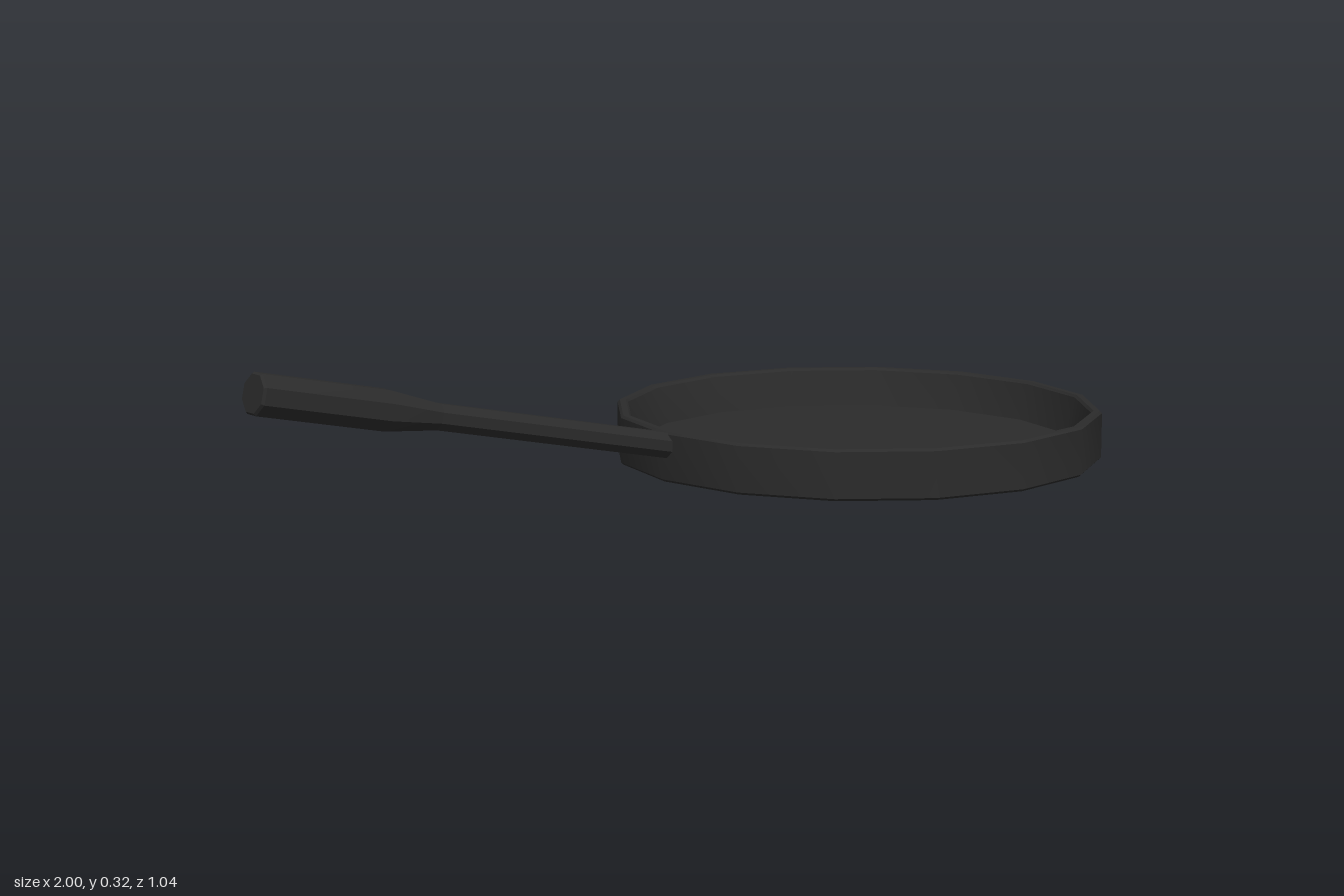
import * as THREE from 'three';
import { toCreasedNormals } from 'three/addons/utils/BufferGeometryUtils.js';

const castIron = new THREE.MeshStandardMaterial({ color: 0x2b2b2b });
castIron.name = 'castIron';

// Faceted solid of revolution from [radius, height] pairs
function turned(name, profile, sides, phase = 0) {
  const points = profile.map(([r, y]) => new THREE.Vector2(r, y));
  const geometry = toCreasedNormals(new THREE.LatheGeometry(points, sides, phase), 0.5);
  const mesh = new THREE.Mesh(geometry, castIron);
  mesh.name = name;
  return mesh;
}

export function createModel() {
  const group = new THREE.Group();
  group.name = 'fryingPan';

  // Sixteen-sided pan with bevelled edges, sloped inner wall and sunken floor
  const pan = turned('pan', [
    [0, 0], [0.515, 0], [0.52, 0.005], [0.52, 0.1], [0.515, 0.105],
    [0.502, 0.105], [0.497, 0.1], [0.475, 0.022], [0, 0.022],
  ], 16);
  pan.position.x = 0.477;
  group.add(pan);

  // Octagonal handle rising to the right: slim rod, flare, thicker grip
  const c = 1 / Math.cos(Math.PI / 8); // flat-to-flat half width to corner radius
  const handle = new THREE.Group();
  handle.name = 'handle';
  handle.add(
    turned('rod', [[0, 0], [0.026 * c, 0], [0.026 * c, 0.573]], 8, Math.PI / 8),
    turned('grip', [
      [0.026 * c, 0.573], [0.04 * c, 0.695], [0.04 * c, 0.979], [0.036 * c, 0.984], [0, 0.984],
    ], 8, Math.PI / 8),
  );
  handle.position.set(-0.03, 0.075, 0);
  handle.rotation.z = THREE.MathUtils.degToRad(77.9);
  group.add(handle);

  return group;
}
